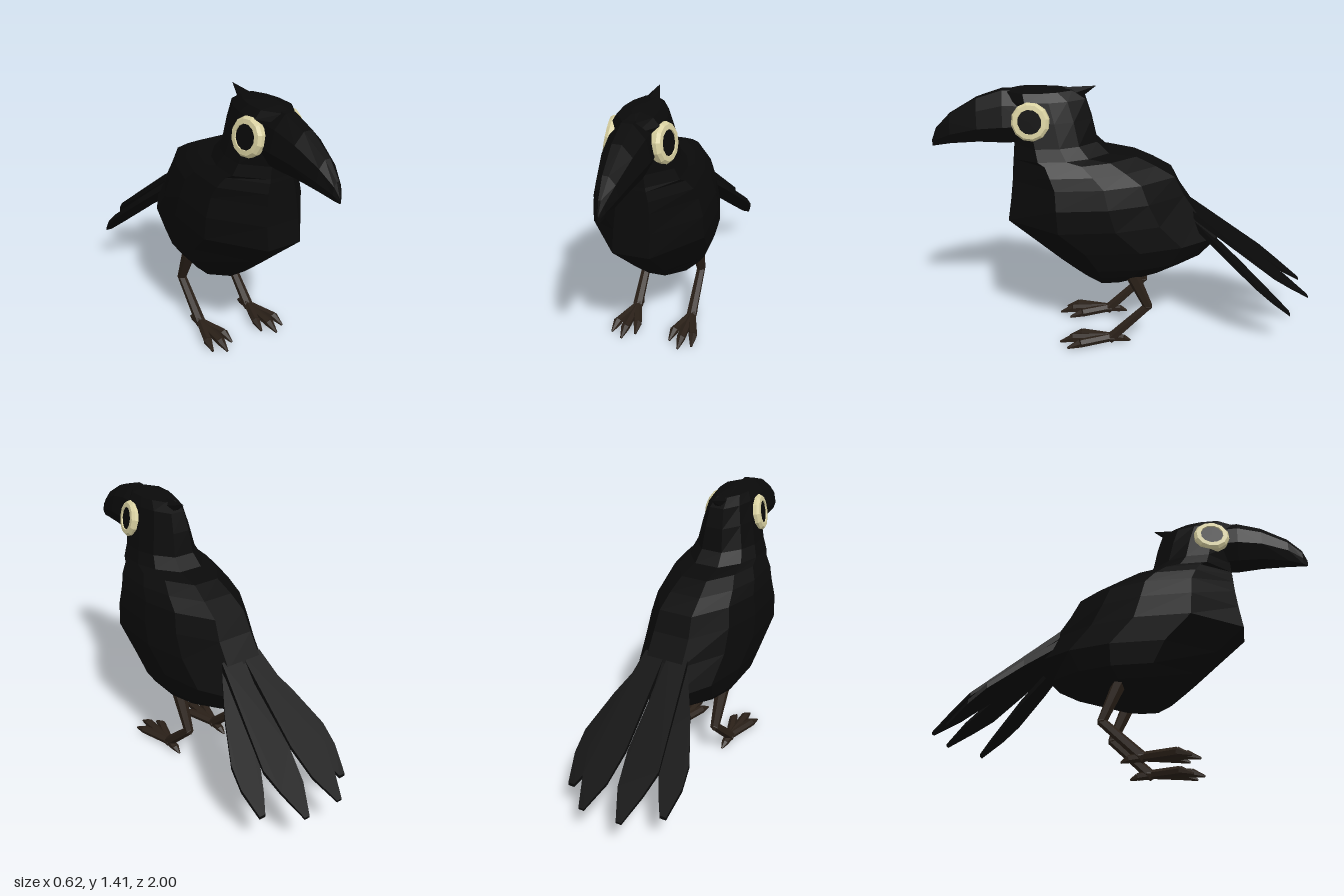
import * as THREE from 'three';

const paint = (color) => new THREE.MeshStandardMaterial({ color, flatShading: true });
const black = paint(0x0a0a0a), brown = paint(0x2a2018), cream = paint(0xd8d0a0);

function add(parent, name, geometry, material) {
  const mesh = new THREE.Mesh(geometry, material);
  mesh.name = name;
  parent.add(mesh);
  return mesh;
}

// Skin a stack of equal-length rings and close both ends.
function loft(rings) {
  const n = rings[0].length, index = [];
  for (let r = 0; r < rings.length - 1; r++) {
    for (let i = 0; i < n; i++) {
      const a = r * n + i, b = r * n + (i + 1) % n;
      index.push(a, b, b + n, a, b + n, a + n);
    }
  }
  const last = (rings.length - 1) * n;
  for (let i = 1; i < n - 1; i++) {
    index.push(0, i + 1, i, last, last + i, last + i + 1);
  }
  const g = new THREE.BufferGeometry();
  g.setAttribute('position', new THREE.Float32BufferAttribute(rings.flat(2), 3));
  g.setIndex(index);
  const flat = g.toNonIndexed();
  flat.computeVertexNormals();
  return flat;
}

// Complete a right-hand half ring with its mirror image.
const mirrored = (half) => [...half, ...half.map(([x, y, z]) => [-x, y, z]).reverse()];

// Tapered rod between two points.
function rod(parent, name, from, to, r1, r2, material, sides = 6) {
  const a = new THREE.Vector3(...from), b = new THREE.Vector3(...to), d = b.clone().sub(a);
  const mesh = add(parent, name, new THREE.CylinderGeometry(r2, r1, d.length(), sides), material);
  mesh.position.copy(a).add(b).multiplyScalar(0.5);
  mesh.quaternion.setFromUnitVectors(new THREE.Vector3(0, 1, 0), d.normalize());
  return mesh;
}

// Flat feather: outline in (x, z), sloping down towards the tail tip.
function feather(parent, name, outline, side, z0, y0, slope) {
  const shape = new THREE.Shape(outline.map(([x, z]) => new THREE.Vector2(side * x, -z)));
  const g = new THREE.ExtrudeGeometry(shape, { depth: 1, bevelEnabled: false });
  g.rotateX(-Math.PI / 2);
  const p = g.attributes.position;
  for (let i = 0; i < p.count; i++) {
    const z = p.getZ(i), thick = 0.04 + 0.045 * (z + 0.35);
    p.setY(i, y0 + slope * (z - z0) + (p.getY(i) - 0.5) * thick);
  }
  g.computeVertexNormals();
  add(parent, name, g, black);
}

function eye(parent, side) {
  const group = new THREE.Group();
  group.name = side > 0 ? 'leftEye' : 'rightEye';
  group.position.set(side * 0.13, 1.273, 0.49);
  group.quaternion.setFromUnitVectors(
    new THREE.Vector3(0, 1, 0), new THREE.Vector3(side, 0.2, 0.19).normalize());
  const profile = [[0.088, -0.035], [0.097, -0.02], [0.097, 0.006], [0.085, 0.02], [0.062, 0.022], [0.06, 0]];
  add(group, 'eyeRing',
    new THREE.LatheGeometry(profile.map((q) => new THREE.Vector2(...q)), 12), cream);
  add(group, 'pupil', new THREE.CylinderGeometry(0.064, 0.064, 0.05, 12), black).position.y = -0.01;
  parent.add(group);
}

function leg(parent, side) {
  const group = new THREE.Group();
  group.name = side > 0 ? 'leftLeg' : 'rightLeg';
  const x = side * 0.16;
  const knee = [x, 0.225, -0.1], ankle = [x, 0.035, 0.1];
  rod(group, 'thigh', [x, 0.43, -0.01], knee, 0.038, 0.025, brown);
  add(group, 'knee', new THREE.IcosahedronGeometry(0.027, 0), brown).position.set(...knee);
  rod(group, 'shank', knee, ankle, 0.024, 0.029, brown);
  add(group, 'ankle', new THREE.IcosahedronGeometry(0.033, 0), brown).position.set(...ankle);
  // Three toes forward, one back, each ending in a claw.
  for (const [spread, reach] of [[-0.062, 0.33], [0, 0.385], [0.066, 0.345]]) {
    const knuckle = [x + side * spread * 0.85, 0.036, reach - 0.07];
    rod(group, 'toe', ankle, knuckle, 0.024, 0.024, brown);
    rod(group, 'claw', knuckle, [x + side * spread, 0.015, reach], 0.025, 0.006, brown);
  }
  rod(group, 'hindToe', ankle, [x, 0.026, 0.035], 0.025, 0.021, brown);
  rod(group, 'hindClaw', [x, 0.026, 0.035], [x, 0.01, -0.005], 0.021, 0.005, brown);
  parent.add(group);
}

export function createModel() {
  const bird = new THREE.Group();
  bird.name = 'bird';

  // Body, neck and head: height, front z, back z, half width.
  const levels = [
    [0.365, 0.23, -0.08, 0.14], [0.43, 0.3, -0.27, 0.205], [0.49, 0.365, -0.38, 0.245],
    [0.6, 0.485, -0.48, 0.272], [0.73, 0.63, -0.37, 0.29], [0.85, 0.61, -0.29, 0.284],
    [0.95, 0.597, -0.24, 0.26], [1.01, 0.592, -0.14, 0.24], [1.06, 0.588, -0.04, 0.205],
    [1.08, 0.585, 0.1, 0.19], [1.14, 0.58, 0.16, 0.165], [1.26, 0.6, 0.185, 0.138],
    [1.36, 0.62, 0.215, 0.112], [1.402, 0.61, 0.28, 0.085], [1.42, 0.55, 0.42, 0.02],
  ];
  const around = [[0.32, 0], [1, 0.26], [1, 0.55], [0.8, 0.78], [0.35, 1]];
  add(bird, 'body', loft(levels.map(([y, front, back, w]) =>
    mirrored(around.map(([k, t]) => [k * w, y, front + (back - front) * t])))), black);

  // Beak: z, bottom, top, half width.
  const beak = [
    [0.45, 1.15, 1.4, 0.105], [0.63, 1.148, 1.408, 0.108], [0.76, 1.152, 1.367, 0.09],
    [0.9, 1.14, 1.287, 0.056], [0.975, 1.125, 1.212, 0.024], [1, 1.118, 1.15, 0.004],
  ];
  const section = [[0.6, 0], [1, 0.35], [0.78, 0.75], [0.25, 1]];
  add(bird, 'beak', loft(beak.map(([z, low, high, w]) =>
    mirrored(section.map(([k, t]) => [k * w, low + (high - low) * t, z])))), black);

  // Small crest behind the crown.
  rod(bird, 'crest', [0, 1.365, 0.3], [0, 1.416, 0.162], 0.05, 0.001, black, 5);

  const inner = [[0.01, -0.33], [0.005, -0.74], [0.03, -0.88], [0.09, -1], [0.12, -1],
    [0.17, -0.88], [0.2, -0.78], [0.12, -0.34]];
  const outer = [[0.03, -0.36], [0.12, -0.34], [0.22, -0.5], [0.3, -0.66], [0.308, -0.75],
    [0.28, -0.86], [0.245, -0.86], [0.2, -0.79], [0.1, -0.6]];
  for (const side of [1, -1]) {
    feather(bird, 'innerTailFeather', inner, side, -1, 0.225, 0.78);
    feather(bird, 'outerTailFeather', outer, side, -0.86, 0.21, 0.93);
    eye(bird, side);
    leg(bird, side);
  }
  return bird;
}
